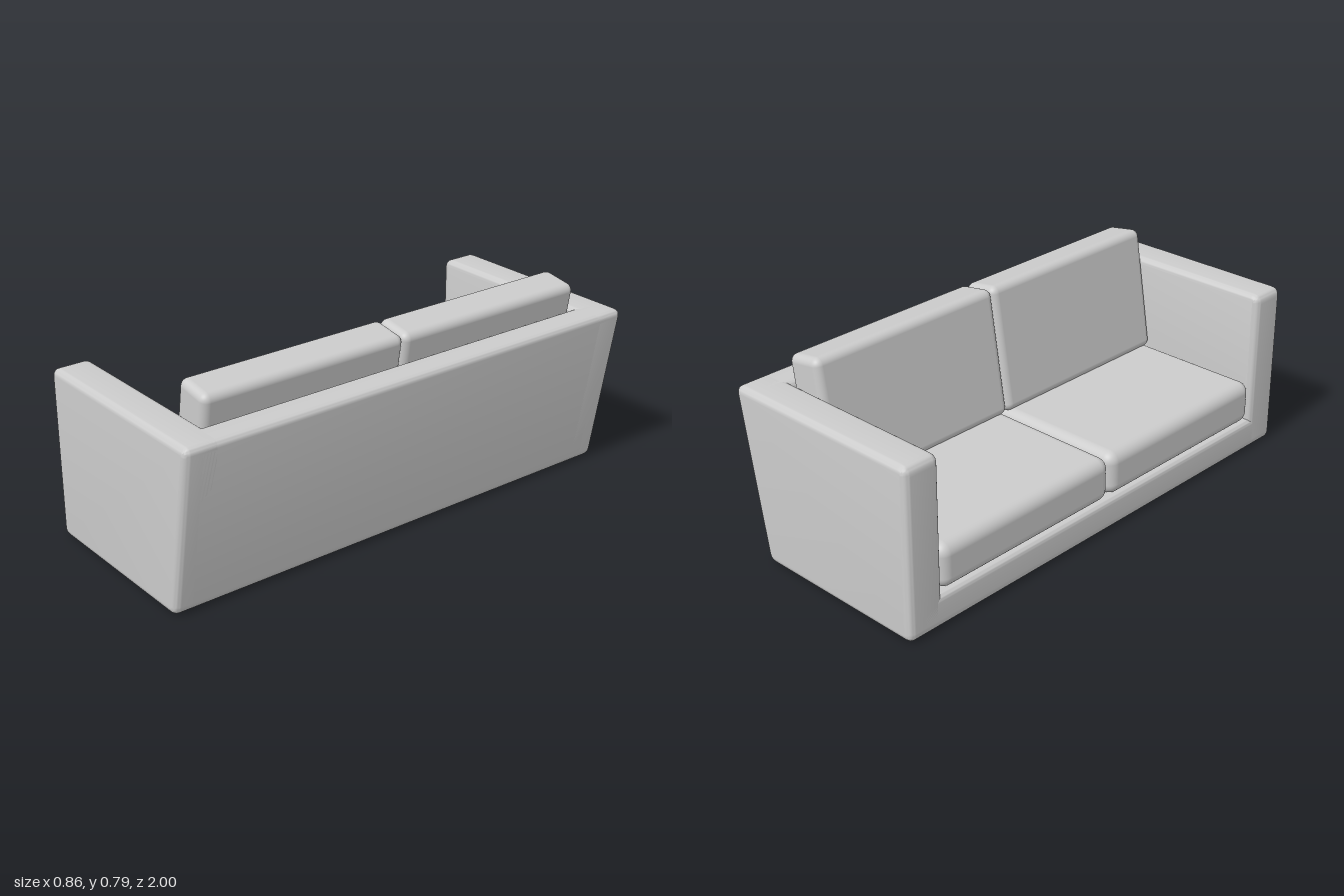
import * as THREE from 'three';
import { toCreasedNormals } from 'three/addons/utils/BufferGeometryUtils.js';
import { RoundedBoxGeometry } from 'three/addons/geometries/RoundedBoxGeometry.js';

// Closed polygon whose corners [x, y, radius] are rounded off
function roundedShape(corners) {
  const shape = new THREE.Shape();
  const n = corners.length;
  corners.forEach(([x, y, r], i) => {
    const p = new THREE.Vector2(x, y);
    const toward = ([qx, qy]) =>
      new THREE.Vector2(qx, qy).sub(p).normalize().multiplyScalar(r).add(p);
    const a = toward(corners[(i + n - 1) % n]);
    const b = toward(corners[(i + 1) % n]);
    if (i === 0) shape.moveTo(a.x, a.y);
    else shape.lineTo(a.x, a.y);
    if (r > 0) shape.quadraticCurveTo(x, y, b.x, b.y);
  });
  shape.closePath();
  return shape;
}

// Extrude along z between z0 and z1, with softened end edges
function extrude(shape, z0, z1, bevel) {
  const geometry = new THREE.ExtrudeGeometry(shape, {
    depth: z1 - z0 - 2 * bevel,
    curveSegments: 8,
    bevelEnabled: bevel > 0,
    bevelThickness: bevel,
    bevelSize: bevel,
    bevelOffset: -bevel,
    bevelSegments: 6,
  });
  geometry.translate(0, 0, z0 + bevel);
  return toCreasedNormals(geometry, 0.6);
}

export function createModel() {
  const group = new THREE.Group();
  const fabric = new THREE.MeshStandardMaterial({ color: 0xcccccc });
  const add = (name, geometry) => {
    const mesh = new THREE.Mesh(geometry, fabric);
    mesh.name = name;
    group.add(mesh);
    return mesh;
  };

  const front = -0.43, height = 0.667, r = 0.036;
  const baseTop = 0.13, armInner = 0.85;

  // Side panels with a raked back edge
  const armShape = roundedShape([
    [front, 0, r], [0.318, 0, r], [0.434, height, r], [front, height, r],
  ]);
  add('leftArm', extrude(armShape, -1, -armInner, 0.025));
  add('rightArm', extrude(armShape, armInner, 1, 0.025));

  // Base and raked backrest as one L-shaped section between the arms
  const frameShape = roundedShape([
    [front, 0, r], [0.318, 0, r], [0.434, height, r],
    [0.308, height, 0.025], [0.216, baseTop, 0], [front, baseTop, 0.025],
  ]);
  add('baseAndBack', extrude(frameShape, -0.93, 0.93, 0));

  // Two seat cushions and two leaning back cushions
  for (const side of [-1, 1]) {
    const z = side * armInner / 2;
    const seat = add('seatCushion', new RoundedBoxGeometry(0.645, 0.175, armInner, 6, 0.045));
    seat.position.set(-0.105, baseTop + 0.0875, z);

    const back = add('backCushion', new RoundedBoxGeometry(0.155, 0.5, armInner, 6, 0.03));
    back.position.set(0.204, 0.535, z);
    back.rotation.z = -0.163;
  }
  return group;
}
